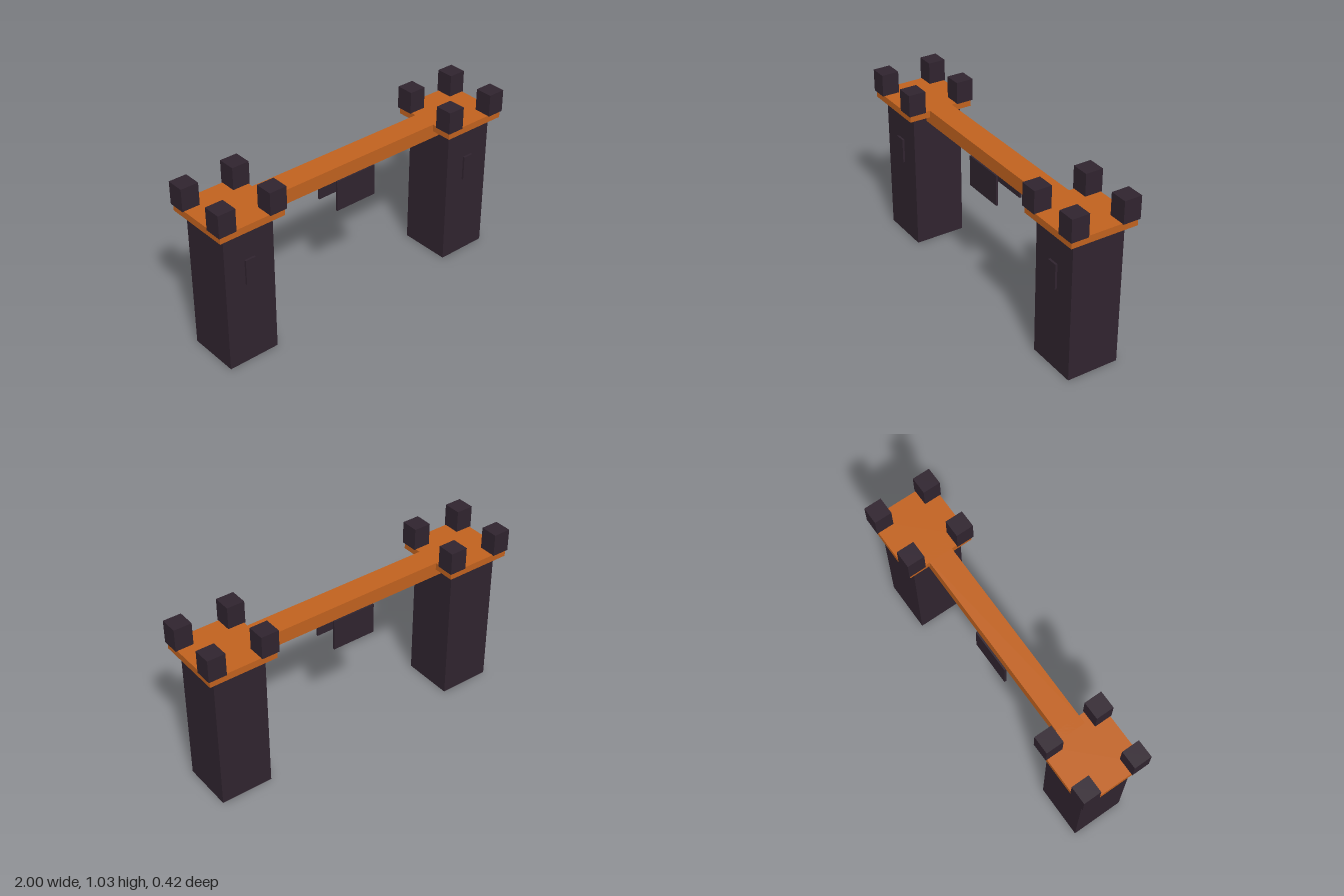
import * as THREE from 'three';

export function createModel() {
  const model = new THREE.Group();
  model.name = 'gateway';

  const orange = new THREE.MeshStandardMaterial({ color: 0xc1621f });
  orange.name = 'orange';
  const dark = new THREE.MeshStandardMaterial({ color: 0x30242f });
  dark.name = 'dark plum';

  // Box given by its centre in x and z, and its bottom and top in y
  function box(parent, name, material, width, depth, bottom, top, x, z) {
    const mesh = new THREE.Mesh(new THREE.BoxGeometry(width, top - bottom, depth), material);
    mesh.name = name;
    mesh.position.set(x, (bottom + top) / 2, z);
    parent.add(mesh);
  }

  // Two towers, each with a slab, four battlements and a front window
  for (const side of [-1, 1]) {
    const tower = new THREE.Group();
    tower.name = side > 0 ? 'leftTower' : 'rightTower';
    tower.position.x = side * 0.788;
    box(tower, 'shaft', dark, 0.315, 0.315, 0, 0.858, 0, 0);
    box(tower, 'slab', orange, 0.406, 0.406, 0.858, 0.9, 0, 0);
    box(tower, 'window', dark, 0.064, 0.014, 0.508, 0.66, 0, 0.163);
    for (const x of [-0.159, 0.159]) {
      for (const z of [-0.158, 0.158]) {
        box(tower, 'battlement', dark, 0.106, 0.106, 0.898, 1.033, x, z);
      }
    }
    model.add(tower);
  }

  // Walkway between the towers
  box(model, 'walkway', orange, 1.27, 0.146, 0.815, 0.9, 0, 0);

  // Thin banners hanging below the walkway, front and back
  for (const z of [-0.077, 0.077]) {
    box(model, 'banner', dark, 0.27, 0.012, 0.629, 0.816, 0, z);
  }

  return model;
}
